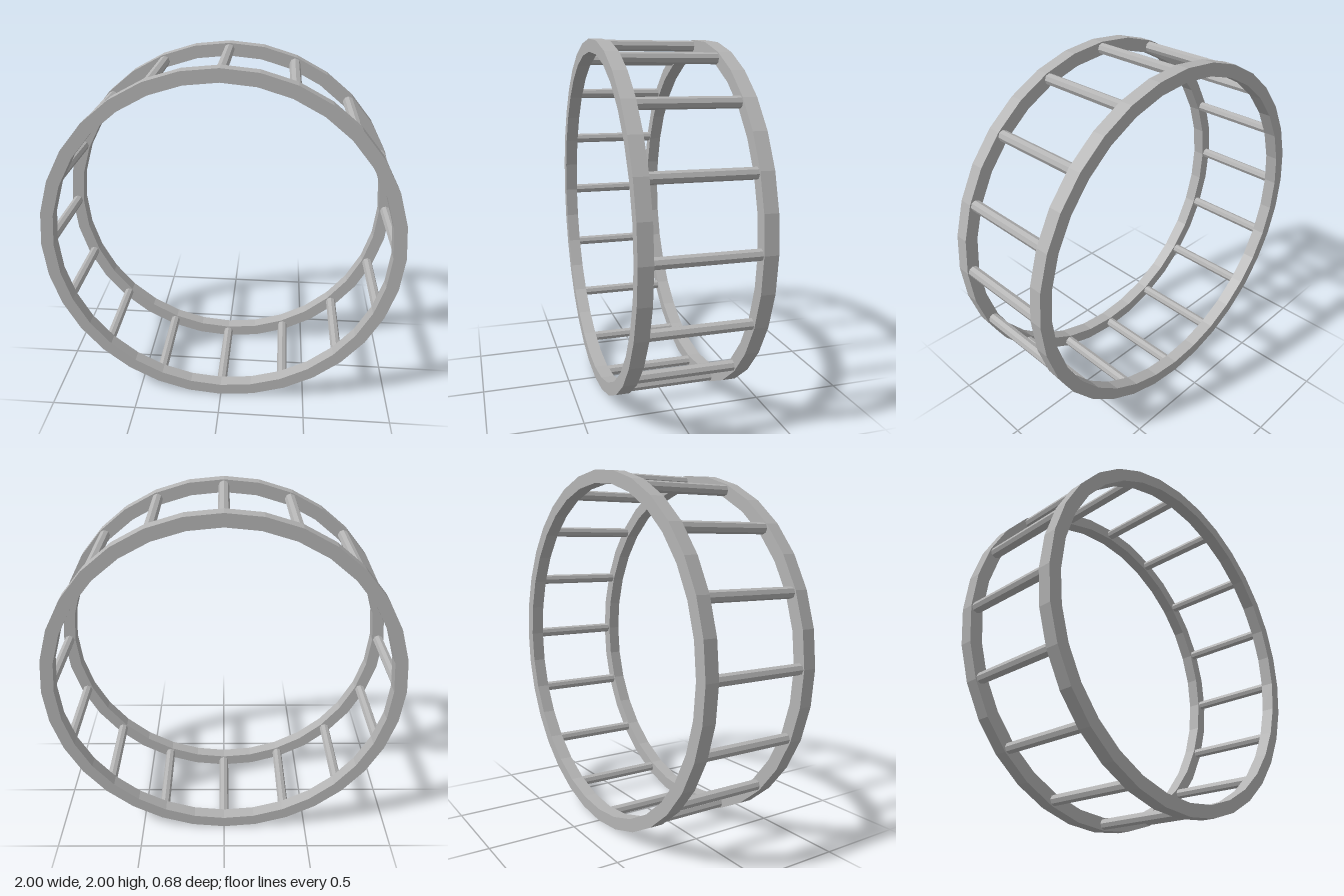
import * as THREE from 'three';

const OUTER = 1, INNER = 0.93, THICK = 0.075, HALF_DEPTH = 0.3375;
const SIDES = 32, RUNGS = 16;

// Points of a regular polygon with a corner on the x axis
function polygon(radius) {
  return Array.from({ length: SIDES }, (_, i) => {
    const a = (i / SIDES) * Math.PI * 2;
    return new THREE.Vector2(Math.cos(a) * radius, Math.sin(a) * radius);
  });
}

export function createModel() {
  const model = new THREE.Group();
  model.name = 'rungWheel';
  const steel = new THREE.MeshStandardMaterial({ color: 0xb4b4b4, flatShading: true });
  steel.name = 'grey steel';

  // Two faceted rims, front and back
  const outline = new THREE.Shape(polygon(OUTER));
  outline.holes.push(new THREE.Path(polygon(INNER)));
  const rimGeometry = new THREE.ExtrudeGeometry(outline, { depth: THICK, bevelEnabled: false });
  rimGeometry.translate(0, 0, -THICK / 2);
  for (const side of [1, -1]) {
    const rim = new THREE.Mesh(rimGeometry, steel);
    rim.name = side > 0 ? 'frontRim' : 'backRim';
    rim.position.set(0, OUTER, side * (HALF_DEPTH - THICK / 2));
    model.add(rim);
  }

  // Round bars joining the rims, evenly spaced around the wheel
  const rungGeometry = new THREE.CylinderGeometry(0.03, 0.03, 2 * (HALF_DEPTH - THICK), 8);
  rungGeometry.rotateX(Math.PI / 2);
  const middle = (OUTER + INNER) / 2;
  for (let i = 0; i < RUNGS; i++) {
    const a = (i / RUNGS) * Math.PI * 2;
    const rung = new THREE.Mesh(rungGeometry, steel);
    rung.name = `rung${i + 1}`;
    rung.position.set(Math.cos(a) * middle, OUTER + Math.sin(a) * middle, 0);
    model.add(rung);
  }
  return model;
}
